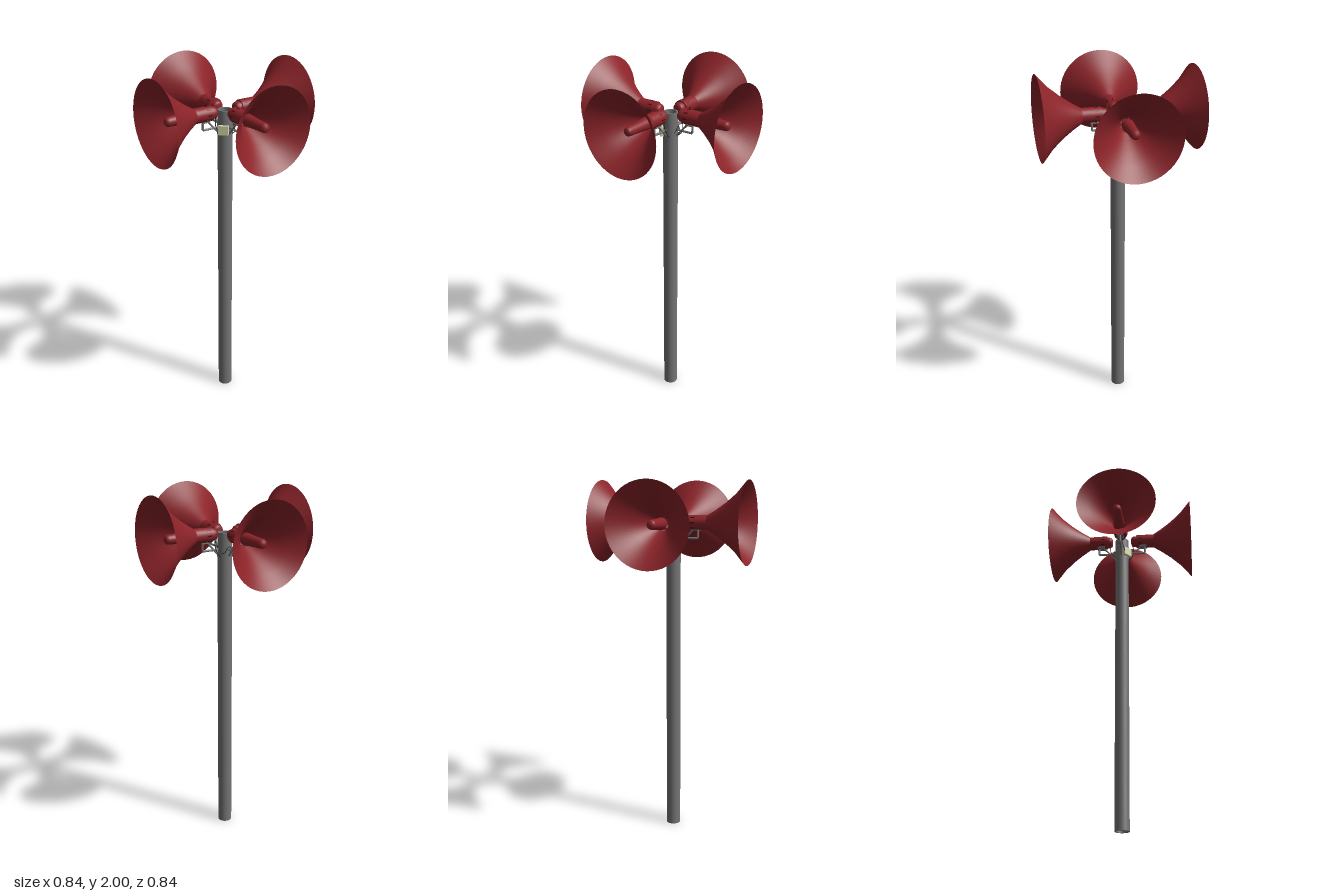
import * as THREE from 'three';

const AXIS_Y = 1.775;
const mat = (color, side = THREE.FrontSide) => new THREE.MeshStandardMaterial({ color, side });
const red = mat(0x8b2329, THREE.DoubleSide);
const darkRed = mat(0x3c0e11);
const steel = mat(0x757575, THREE.DoubleSide);
const black = mat(0x2a2a2a);
const cream = mat(0xd8d8aa);

function add(parent, name, geometry, material) {
  const mesh = new THREE.Mesh(geometry, material);
  mesh.name = name;
  parent.add(mesh);
  return mesh;
}

// Lathe whose axis runs along +z; points are [radius, z]
function turned(points, segments = 40) {
  const profile = points.map(([r, z]) => new THREE.Vector2(r, z));
  return new THREE.LatheGeometry(profile, segments).rotateX(Math.PI / 2);
}

// Round rod along straight runs or a smooth curve
function rod(points, radius, smooth = false) {
  const v = points.map((p) => new THREE.Vector3(...p));
  let path;
  if (smooth) path = new THREE.CatmullRomCurve3(v);
  else {
    path = new THREE.CurvePath();
    for (let i = 1; i < v.length; i++) path.add(new THREE.LineCurve3(v[i - 1], v[i]));
  }
  return new THREE.TubeGeometry(path, 24, radius, 8);
}

// One loudspeaker pointing along +z, axis on z = 0 height
function createHorn() {
  const horn = new THREE.Group();
  horn.name = 'horn';

  add(horn, 'flare', turned([[0.04, 0.195], [0.07, 0.245], [0.108, 0.3], [0.16, 0.362], [0.227, 0.421]], 48), red);
  add(horn, 'driverBody', turned([[0.04, 0.09], [0.04, 0.197]]), red);
  add(horn, 'bodyShoulder', turned([[0.032, 0.09], [0.04, 0.09]]), red);

  // Rounded cap behind the driver
  add(horn, 'rearCap', turned([[0, 0.056], [0.018, 0.057], [0.026, 0.061], [0.031, 0.068], [0.033, 0.077], [0.033, 0.09]]), red);

  // Vent slots around the driver body
  for (let i = 0; i < 8; i++) {
    const a = (i * Math.PI) / 4;
    const slot = add(horn, 'ventSlot', new THREE.BoxGeometry(0.006, 0.002, 0.024), darkRed);
    slot.position.set(Math.sin(a) * 0.0398, Math.cos(a) * 0.0398, 0.117);
    slot.rotation.z = -a;
  }

  // Reflector plug standing in the throat
  add(horn, 'throatPlug', turned([
    [0.033, 0.2], [0.028, 0.27], [0.025, 0.345], [0.022, 0.357], [0.014, 0.364], [0, 0.366],
  ], 28), red);
  return horn;
}

// Carrier between pole and horn, in the horn's own frame
function createBracket() {
  const bracket = new THREE.Group();
  bracket.name = 'bracket';
  add(bracket, 'arm', rod([[0, -0.085, 0.037], [0, -0.085, 0.14], [0, -0.037, 0.14]], 0.006), steel);
  add(bracket, 'brace', rod([[0, -0.12, 0.038], [0, -0.037, 0.115]], 0.005), steel);
  const saddle = add(bracket, 'saddle', new THREE.BoxGeometry(0.04, 0.006, 0.045), steel);
  saddle.position.set(0, -0.04, 0.128);
  // Feed cable drooping from the driver to the pole
  add(bracket, 'cable', rod([
    [0.008, -0.02, 0.064], [0.012, -0.06, 0.07], [0.022, -0.105, 0.056], [0.02, -0.12, 0.04],
  ], 0.002, true), black);
  return bracket;
}

export function createModel() {
  const model = new THREE.Group();
  model.name = 'loudspeakerPole';

  // Hollow pole, open at both ends
  const outer = 0.04, inner = 0.032;
  add(model, 'pole', new THREE.LatheGeometry([
    [inner, 0], [outer, 0], [outer, 0], [outer, 1.78], [outer, 1.78], [inner, 1.78], [inner, 1.78], [inner, 0],
  ].map(([r, y]) => new THREE.Vector2(r, y)), 32), steel);

  // Clamp bands holding the brackets
  for (const y of [1.69, 1.655]) {
    const band = add(model, 'clampBand', new THREE.CylinderGeometry(0.043, 0.043, 0.014, 32, 1, true), steel);
    band.position.y = y;
  }

  // Four horns facing the four sides
  for (let i = 0; i < 4; i++) {
    const unit = new THREE.Group();
    unit.name = 'hornUnit';
    unit.add(createHorn(), createBracket());
    unit.position.y = AXIS_Y;
    unit.rotation.y = (i * Math.PI) / 2;
    model.add(unit);
  }

  // Cable looped around the pole
  const loop = [];
  for (let i = 0; i <= 8; i++) {
    const a = -Math.PI * 0.6 + (i / 8) * Math.PI * 0.75;
    loop.push([Math.cos(a) * 0.047, 1.69 + 0.02 * Math.sin(i * 1.3), Math.sin(a) * 0.047]);
  }
  add(model, 'poleCable', rod(loop, 0.002, true), black);

  // Small junction box on the pole
  const box = add(model, 'junctionBox', new THREE.BoxGeometry(0.055, 0.05, 0.018), cream);
  box.position.set(-0.035, 1.68, 0.035);
  box.rotation.y = -Math.PI / 4;
  return model;
}
